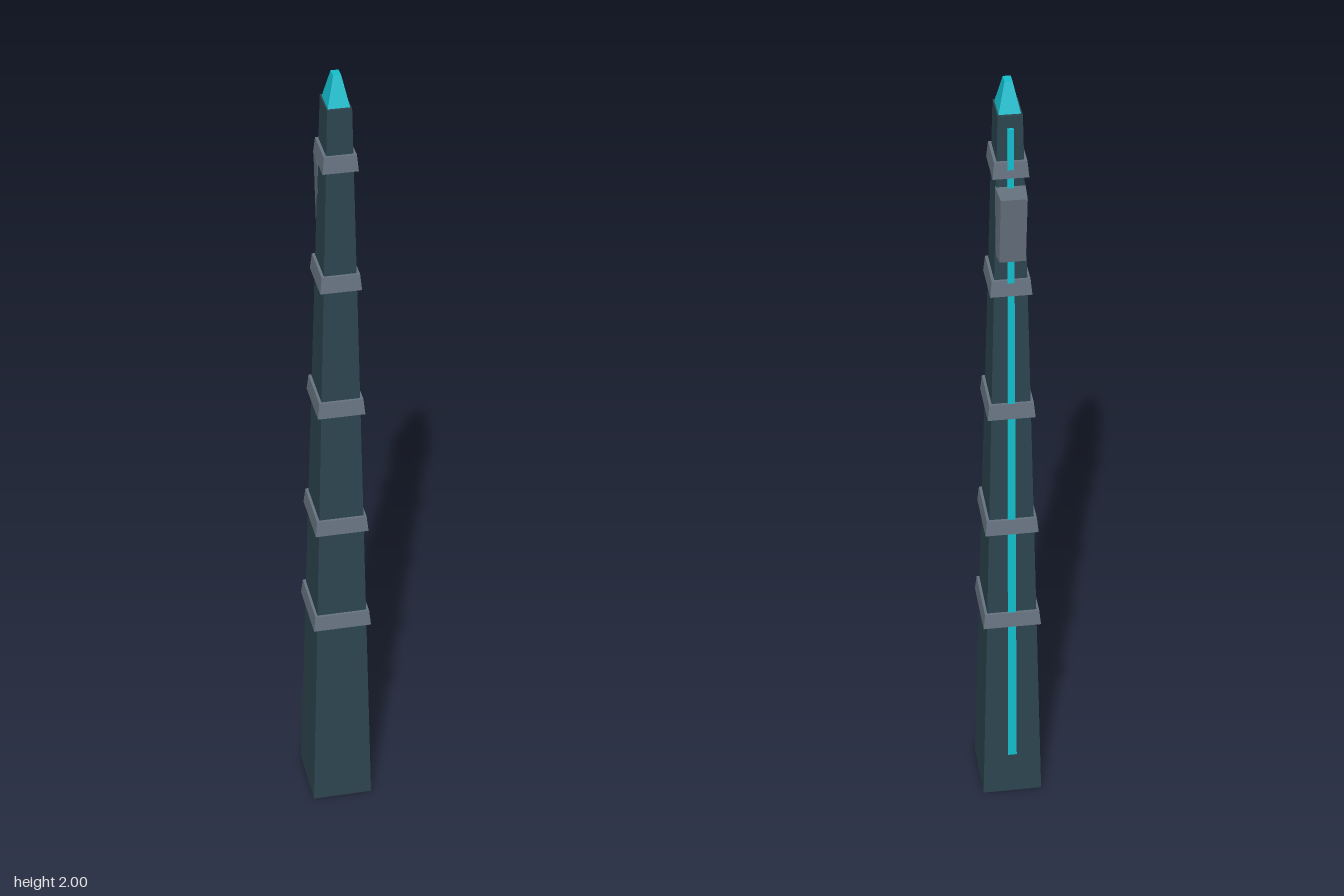
import * as THREE from 'three';

const CZ = 0.008; // the shaft's axis sits slightly forward
const SHAFT_TOP = 1.93;

export function createModel() {
  const model = new THREE.Group();
  const material = (name, color) => {
    const m = new THREE.MeshStandardMaterial({ color });
    m.name = name;
    return m;
  };
  const slate = material('dark slate', 0x2c454f);
  const steel = material('steel grey', 0x687482);
  const cyan = material('glowing cyan', 0x13bfcf);

  // Box whose bottom and top each have a half width and a z range
  function taper(name, mat, y0, y1, bottom, top) {
    const geo = new THREE.BoxGeometry(2, 2, 2);
    const p = geo.attributes.position;
    for (let i = 0; i < p.count; i++) {
      const up = p.getY(i) > 0;
      const s = up ? top : bottom;
      const front = p.getZ(i) > 0;
      const w = front ? s.front : s.back;
      p.setXYZ(i, p.getX(i) * w, up ? y1 : y0, front ? s.z1 : s.z0);
    }
    const flat = geo.toNonIndexed();
    flat.computeVertexNormals();
    const mesh = new THREE.Mesh(flat, mat);
    mesh.name = name;
    model.add(mesh);
  }
  const section = (hx, hz) => ({ front: hx, back: hx, z0: CZ - hz, z1: CZ + hz });

  // Cross-section of the shaft at a height, optionally enlarged
  const shaftAt = (y, grow = 0) => {
    const t = y / SHAFT_TOP;
    return section(0.074 - 0.046 * t + grow, 0.085 - 0.045 * t + grow);
  };

  // Shaft and pointed cap
  taper('shaft', slate, 0, SHAFT_TOP, shaftAt(0), shaftAt(SHAFT_TOP));
  taper('crystalTip', cyan, SHAFT_TOP, 2, section(0.025, 0.033), section(0.009, 0.014));

  // Collars around the shaft
  [0.553, 0.832, 1.163, 1.497, 1.8].forEach((y, i) => {
    const a = y - 0.02, b = y + 0.02;
    taper('collar' + (i + 1), steel, a, b, shaftAt(a, 0.0095), shaftAt(b, 0.0065));
  });

  // Light strip running up the back
  taper('lightStrip', cyan, 0.12, 1.9,
    { front: 0.011, back: 0.011, z0: -0.077, z1: -0.06 },
    { front: 0.007, back: 0.007, z0: -0.041, z1: -0.025 });

  // Wedge-shaped sight block on the back
  taper('sightBlock', steel, 1.58, 1.755,
    { front: 0.034, back: 0.03, z0: -0.07, z1: -0.036 },
    { front: 0.034, back: 0.03, z0: -0.096, z1: -0.032 });

  return model;
}
